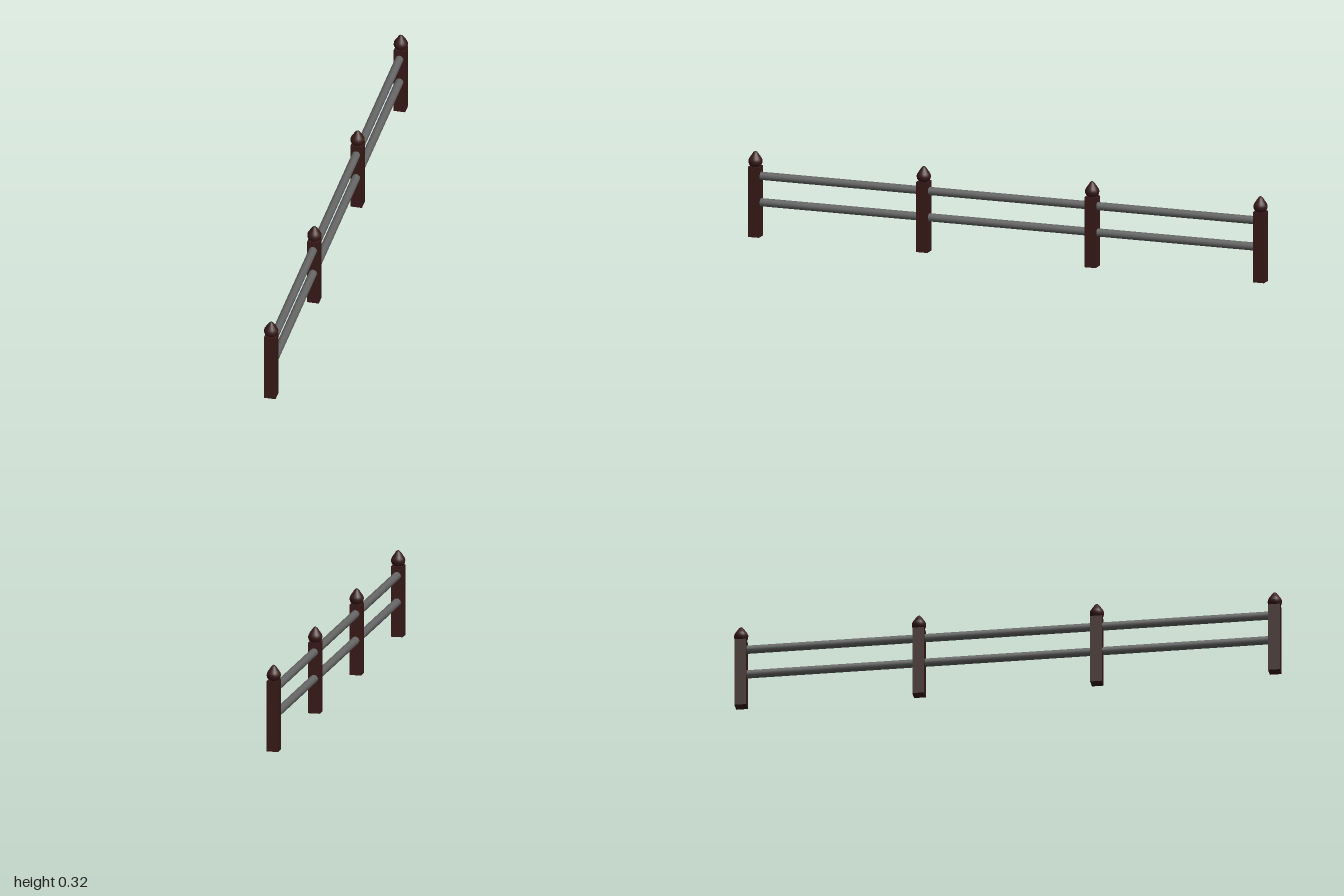
import * as THREE from 'three';

const POST_Z = [-0.975, -0.325, 0.325, 0.975];
const POST_H = 0.261, POST_W = 0.043;
const RAIL_Y = [0.128, 0.226], RAIL_R = 0.015;

export function createModel() {
  const fence = new THREE.Group();
  fence.name = 'fence';
  const wood = new THREE.MeshStandardMaterial({ color: 0x381a17 });
  const metal = new THREE.MeshStandardMaterial({ color: 0x666666 });

  const add = (parent, name, geometry, material, y, z = 0) => {
    const mesh = new THREE.Mesh(geometry, material);
    mesh.name = name;
    mesh.position.set(0, y, z);
    parent.add(mesh);
    return mesh;
  };

  // Onion-shaped finial: round bulb drawn up to a soft point
  const bulb = new THREE.SplineCurve([
    [0.014, 0], [0.022, 0.006], [0.026, 0.018], [0.0235, 0.029],
    [0.015, 0.042], [0.007, 0.053], [0, 0.0575],
  ].map(([r, y]) => new THREE.Vector2(r, y)));
  const profile = bulb.getPoints(18).map(p => new THREE.Vector2(Math.max(p.x, 0), p.y));
  const finialGeo = new THREE.LatheGeometry([new THREE.Vector2(0, 0), ...profile], 16);
  const shaftGeo = new THREE.BoxGeometry(POST_W, POST_H, POST_W);

  // Four square posts with finials
  for (const z of POST_Z) {
    const post = new THREE.Group();
    post.name = 'post';
    post.position.z = z;
    add(post, 'postShaft', shaftGeo, wood, POST_H / 2);
    add(post, 'finial', finialGeo, wood, POST_H - 0.001);
    fence.add(post);
  }

  // Two round rails running through all posts
  const railGeo = new THREE.CylinderGeometry(RAIL_R, RAIL_R, 1.95, 16).rotateX(Math.PI / 2);
  RAIL_Y.forEach((y, i) => add(fence, i ? 'upperRail' : 'lowerRail', railGeo, metal, y));

  return fence;
}
